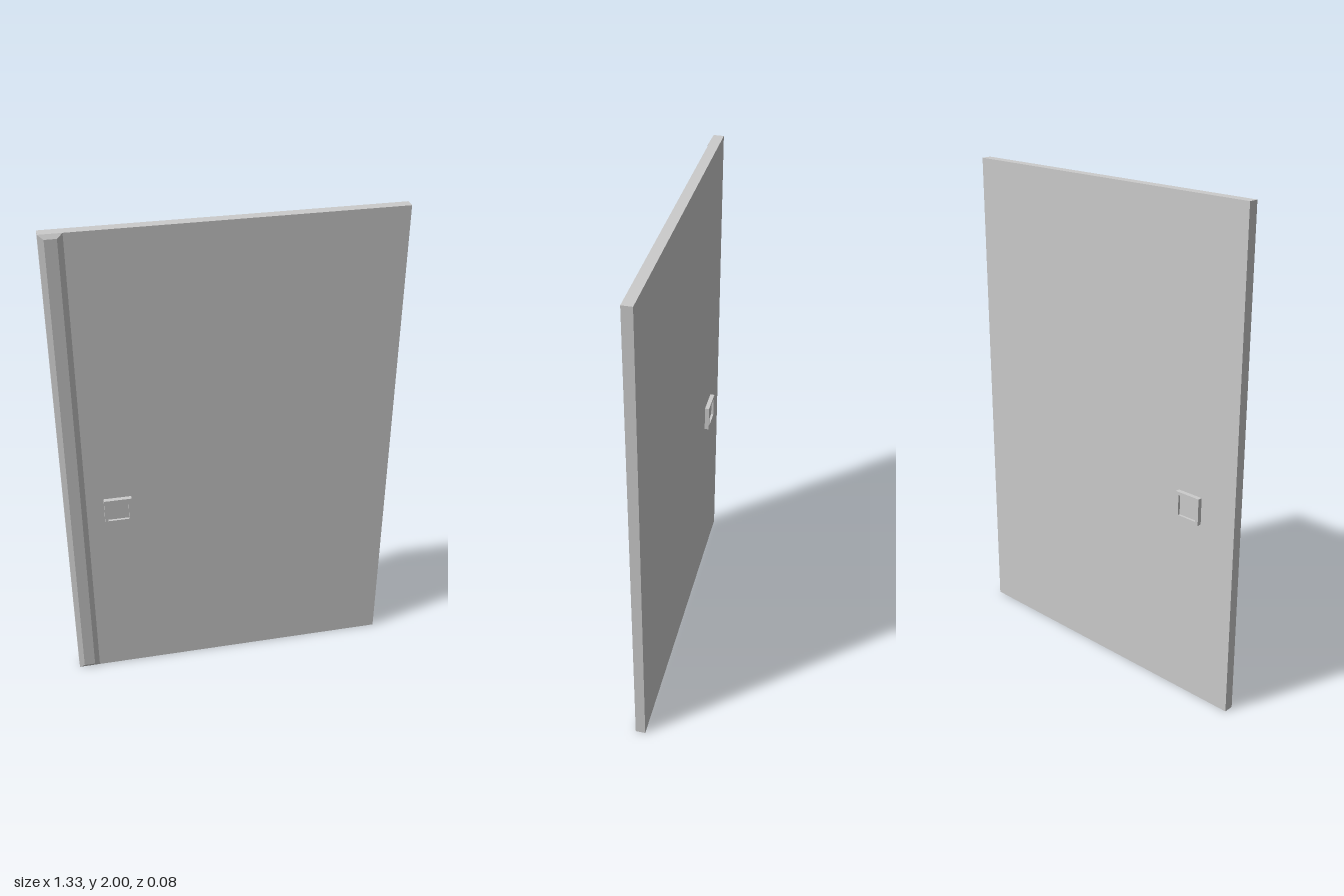
import * as THREE from 'three';

const material = new THREE.MeshStandardMaterial({ color: 0xcccccc });

function addMesh(parent, name, geometry, x = 0, y = 0, z = 0) {
  const mesh = new THREE.Mesh(geometry, material);
  mesh.name = name;
  mesh.position.set(x, y, z);
  parent.add(mesh);
  return mesh;
}

// Square outline as path points, centred on the origin
function square(half) {
  return [[-1, -1], [1, -1], [1, 1], [-1, 1]].map(([x, y]) => new THREE.Vector2(x * half, y * half));
}

// Flat strip whose front face is narrowed to leave sloping edges
function bevelledStrip(width, height, depth, insetX, insetY) {
  const geometry = new THREE.BoxGeometry(width, height, depth);
  const p = geometry.attributes.position;
  for (let i = 0; i < p.count; i++) {
    if (p.getZ(i) < 0) continue;
    p.setX(i, p.getX(i) - Math.sign(p.getX(i)) * insetX);
    p.setY(i, p.getY(i) - Math.sign(p.getY(i)) * insetY);
  }
  geometry.computeVertexNormals();
  return geometry;
}

// Square pull: a raised rim around a shallow recess, facing +z
function createPull(name) {
  const pull = new THREE.Group();
  pull.name = name;
  const rim = new THREE.Shape(square(0.055));
  rim.holes.push(new THREE.Path(square(0.042)));
  addMesh(pull, 'pullRim', new THREE.ExtrudeGeometry(rim, { depth: 0.018, bevelEnabled: false }));
  addMesh(pull, 'pullRecess', new THREE.BoxGeometry(0.084, 0.084, 0.008), 0, 0, 0.004);
  return pull;
}

export function createModel() {
  const door = new THREE.Group();
  door.name = 'door';

  // Door leaf
  addMesh(door, 'doorPanel', new THREE.BoxGeometry(1.333, 2, 0.04), 0, 1, 0);

  // Cover strip along the closing edge
  addMesh(door, 'edgeStrip', bevelledStrip(0.087, 2, 0.01, 0.021, 0.016), -0.623, 1, 0.025);

  // Matching pulls on both faces
  for (const side of [1, -1]) {
    const pull = createPull(side > 0 ? 'frontPull' : 'backPull');
    pull.position.set(-0.455, 0.822, side * 0.02);
    if (side < 0) pull.rotation.y = Math.PI;
    door.add(pull);
  }
  return door;
}
